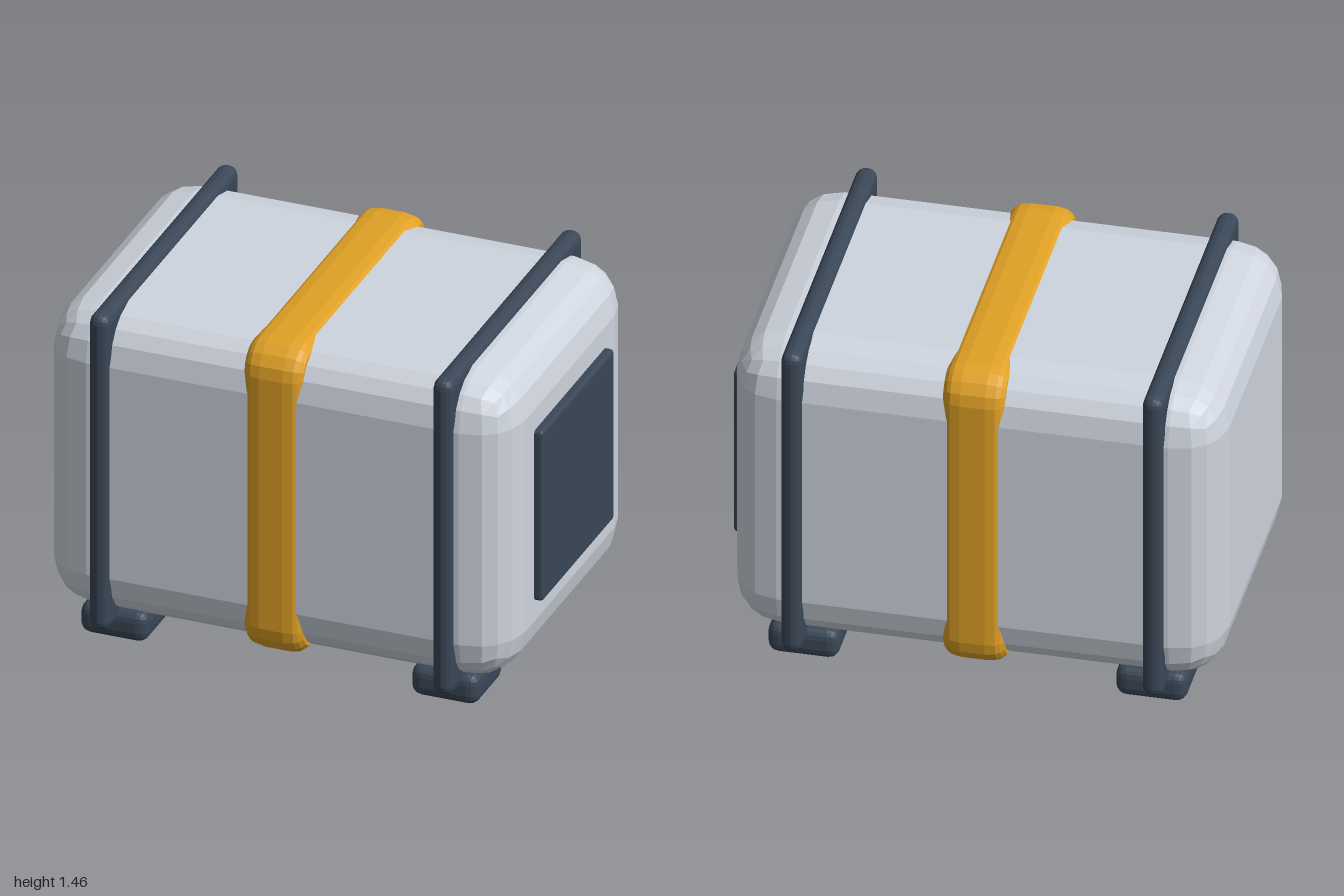
import * as THREE from 'three';
import { RoundedBoxGeometry } from 'three/addons/geometries/RoundedBoxGeometry.js';

const CX = -0.02; // middle of the tank along x
const CY = 0.766; // middle height of the tank

function material(name, color) {
  const m = new THREE.MeshStandardMaterial({ color, flatShading: true });
  m.name = name;
  return m;
}

// Closed band: a profile of [x, inset] swept around a rounded square in the yz plane
function bandGeometry(profile, half, radius, steps) {
  const positions = [];
  const index = [];
  const count = 4 * (steps + 1);
  for (const [x, inset] of profile) {
    for (let corner = 0; corner < 4; corner++) {
      const mid = (corner + 0.5) * Math.PI / 2;
      const cy = Math.sign(Math.cos(mid)) * (half - radius);
      const cz = Math.sign(Math.sin(mid)) * (half - radius);
      for (let i = 0; i <= steps; i++) {
        const a = (corner + i / steps) * Math.PI / 2;
        const r = radius - inset;
        positions.push(x, cy + r * Math.cos(a), cz + r * Math.sin(a));
      }
    }
  }
  for (let p = 0; p < profile.length - 1; p++) {
    for (let i = 0; i < count; i++) {
      const j = (i + 1) % count;
      const a = p * count + i, b = p * count + j;
      const c = a + count, d = b + count;
      index.push(a, b, c, b, d, c);
    }
  }
  const g = new THREE.BufferGeometry();
  g.setAttribute('position', new THREE.Float32BufferAttribute(positions, 3));
  g.setIndex(index);
  g.computeVertexNormals();
  return g;
}

export function createModel() {
  const group = new THREE.Group();
  group.name = 'storageTank';

  const shell = material('light grey shell', 0xcfd5df);
  const dark = material('dark slate', 0x3a4757);
  const amber = material('amber strap', 0xe0a126);

  function add(name, geometry, mat, x, y, z) {
    const mesh = new THREE.Mesh(geometry, mat);
    mesh.name = name;
    mesh.position.set(x, y, z);
    group.add(mesh);
  }

  // Main rounded body
  add('body', new RoundedBoxGeometry(1.964, 1.332, 1.332, 2, 0.2), shell, CX + 0.002, CY, 0);

  // Amber strap around the middle
  const side = [[0.123, 0.1], [0.123, 0.036], [0.107, 0.018], [0.09, 0.007], [0.05, 0]];
  const profile = [...side.map(([x, d]) => [-x, d]), ...side.slice().reverse()];
  add('strap', bandGeometry(profile, 0.681, 0.13, 4), amber, CX, CY, 0);

  // Square frames and feet, mirrored about the middle
  const frame = new RoundedBoxGeometry(0.086, 1.39, 1.39, 2, 0.04);
  const foot = new RoundedBoxGeometry(0.285, 0.134, 0.29, 2, 0.045);
  for (const sx of [1, -1]) {
    const s = sx > 0 ? 'left' : 'right';
    add(s + 'Frame', frame, dark, CX + sx * 0.721, CY, 0);
    for (const sz of [1, -1]) {
      add(s + (sz > 0 ? 'Front' : 'Back') + 'Foot', foot, dark, CX + sx * 0.694, 0.067, sz * 0.463);
    }
  }

  // Raised panel on the left end
  add('endPanel', new RoundedBoxGeometry(0.08, 0.75, 0.75, 2, 0.015), dark, 0.96, CY, 0);

  return group;
}
